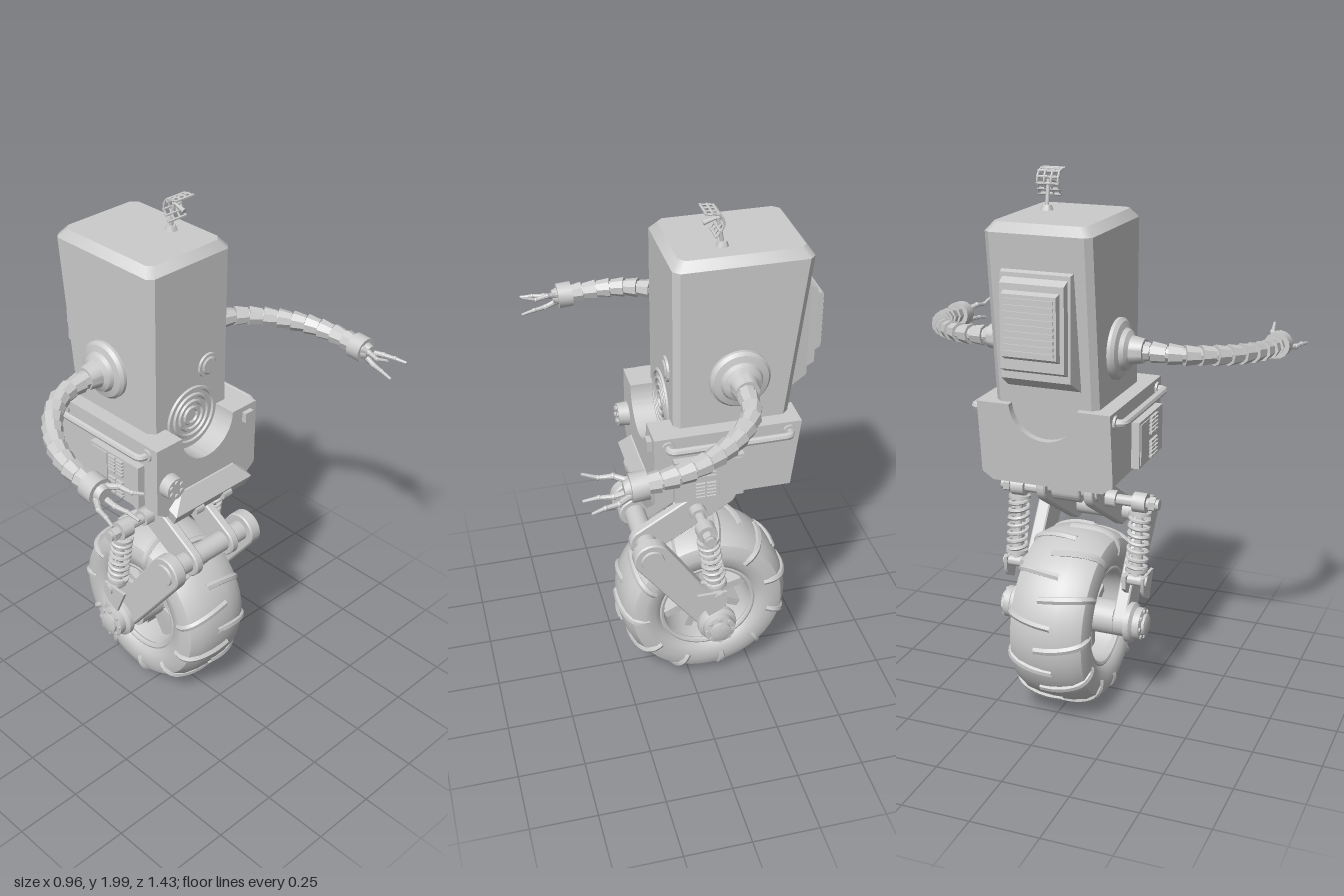
import * as THREE from 'three';
import { toCreasedNormals } from 'three/addons/utils/BufferGeometryUtils.js';
import { ConvexGeometry } from 'three/addons/geometries/ConvexGeometry.js';

const grey = new THREE.MeshStandardMaterial({ color: 0xcccccc, side: THREE.DoubleSide });
const V = (p) => new THREE.Vector3(...p);

function add(parent, name, geometry, pos = [0, 0, 0]) {
  const mesh = new THREE.Mesh(toCreasedNormals(geometry, 0.6), grey);
  mesh.name = name;
  mesh.position.set(...pos);
  parent.add(mesh);
  return mesh;
}
function box(parent, name, min, max) {
  const s = V(max).sub(V(min)), c = V(max).add(V(min)).multiplyScalar(0.5);
  return add(parent, name, new THREE.BoxGeometry(s.x, s.y, s.z), c.toArray());
}
// Cylinder or cone between two points
function bar(parent, name, a, b, r1, r2 = r1, sides = 20) {
  const d = V(b).sub(V(a));
  const mesh = add(parent, name, new THREE.CylinderGeometry(r2, r1, d.length(), sides), V(a).addScaledVector(d, 0.5).toArray());
  mesh.quaternion.setFromUnitVectors(new THREE.Vector3(0, 1, 0), d.normalize());
  return mesh;
}
function tube(parent, name, pts, r, steps = 24, tension = 0.5, sides = 8) {
  const curve = new THREE.CatmullRomCurve3(pts.map(V), false, 'catmullrom', tension);
  return add(parent, name, new THREE.TubeGeometry(curve, steps, r, sides));
}
// Revolve [radius, height] pairs about the z axis
function lathe(parent, name, pts, pos, seg = 32) {
  const g = new THREE.LatheGeometry(pts.map((p) => new THREE.Vector2(...p)), seg).rotateX(Math.PI / 2);
  return add(parent, name, g, pos);
}
function convex(parent, name, pts) {
  return add(parent, name, new ConvexGeometry(pts.map(V)));
}
// Plate with two round ends, extruded in z
function link(parent, name, a, ra, b, rb, z, depth, bevel = 0.005) {
  const dx = b[0] - a[0], dy = b[1] - a[1];
  const t = Math.atan2(dy, dx), k = Math.acos((ra - rb) / Math.hypot(dx, dy));
  const s = new THREE.Shape();
  s.absarc(a[0], a[1], ra, t + k, t - k + 2 * Math.PI, false);
  s.absarc(b[0], b[1], rb, t - k, t + k, false);
  const g = new THREE.ExtrudeGeometry(s, { depth: depth - 2 * bevel, bevelThickness: bevel, bevelSize: bevel, bevelOffset: -bevel, bevelSegments: 1, curveSegments: 16 });
  return add(parent, name, g, [0, 0, z + bevel]);
}

function buildBody(g) {
  // Upper housing: chamfered corners, sloping back
  const pts = [];
  for (const [y, back, inset] of [[1.1, -0.325, 0], [1.825, -0.412, 0], [1.857, -0.412, 0.025]]) {
    const x0 = back + inset, x1 = 0.075 - inset, z = 0.19 - inset, c = 0.022;
    for (const s of [1, -1]) pts.push([x0 + c, y, s * z], [x1 - c, y, s * z], [x0, y, s * (z - c)], [x1, y, s * (z - c)]);
  }
  convex(g, 'upperBody', pts);

  // Lower housing with a round cradle cut in its top
  const s = new THREE.Shape();
  s.moveTo(-0.245, 1.23).lineTo(-0.245, 0.965).lineTo(-0.205, 0.935).lineTo(0.205, 0.935);
  s.lineTo(0.245, 0.965).lineTo(0.245, 1.23).lineTo(0.125, 1.23);
  s.absarc(0, 1.23, 0.125, 0, Math.PI, true);
  const lower = new THREE.ExtrudeGeometry(s, { depth: 0.53, bevelEnabled: false, curveSegments: 24 }).rotateY(Math.PI / 2);
  const p = lower.attributes.position;
  for (let i = 0; i < p.count; i++) p.setX(i, p.getX(i) > 0.3 ? 0.16 : -0.37 + (1.23 - p.getY(i)) * 0.12);
  lower.computeVertexNormals();
  add(g, 'lowerBody', lower);

  // Speaker rings and round eye on the face
  for (const r of [0.03, 0.055, 0.08, 0.108]) add(g, 'speakerRing', new THREE.TorusGeometry(r, 0.008, 6, 40).rotateY(Math.PI / 2), [0.076, 1.235, 0]);
  bar(g, 'eyeRim', [0.07, 1.41, -0.08], [0.083, 1.41, -0.08], 0.048, 0.045, 32);
  bar(g, 'eyeLens', [0.08, 1.41, -0.08], [0.088, 1.41, -0.08], 0.038, 0.028, 32);

  // Stepped vent on the back
  for (const [x0, x1, lo0, hi0, lo, hi, z0, z1] of [[-0.34, -0.42, 1.29, 1.72, 1.34, 1.7, 0.135, 0.125],
    [-0.41, -0.45, 1.36, 1.69, 1.38, 1.67, 0.116, 0.114], [-0.44, -0.476, 1.41, 1.65, 1.43, 1.64, 0.1, 0.097]])
    convex(g, 'backVent', [-1, 1].flatMap((k) => [[x0, lo0, k * z0], [x0, hi0, k * z0], [x1, lo, k * z1], [x1, hi, k * z1]]));
  for (let i = 0; i < 9; i++) box(g, 'backVentSlat', [-0.482, 1.44 + i * 0.022, -0.088], [-0.47, 1.452 + i * 0.022, 0.088]);

  // Knob, port and chin on the front
  bar(g, 'knob', [0.15, 1.07, 0.19], [0.2, 1.07, 0.19], 0.046, 0.042, 24);
  for (let i = 0; i < 6; i++) {
    const y = 1.07 + 0.027 * Math.cos(i * Math.PI / 3), z = 0.19 + 0.027 * Math.sin(i * Math.PI / 3);
    bar(g, 'knobStud', [0.19, y, z], [0.206, y, z], 0.009, 0.009, 10);
  }
  box(g, 'port', [0.15, 1.17, -0.215], [0.178, 1.21, -0.175]);
  convex(g, 'chin', [-1, 1].flatMap((k) => [[0.14, 1.02, k * 0.13], [0.165, 1.01, k * 0.13], [0.2, 0.945, k * 0.19], [0.175, 0.9, k * 0.18], [0.1, 0.935, k * 0.18], [0.14, 0.97, k * 0.19]]));
  for (const z of [-0.07, 0.07]) bar(g, 'chinHinge', [0.18, 0.92, z - 0.02], [0.18, 0.92, z + 0.02], 0.022);
  bar(g, 'turretRing', [-0.12, 0.94, 0], [-0.12, 0.915, 0], 0.15, 0.14, 32);
  bar(g, 'turretHub', [-0.12, 0.92, 0], [-0.12, 0.89, 0], 0.09, 0.08, 32);
}

function buildAntenna(g) {
  const z = -0.085;
  bar(g, 'antennaBase', [-0.115, 1.85, z], [-0.115, 1.875, z], 0.025, 0.016);
  bar(g, 'antennaStalk', [-0.115, 1.87, z], [-0.1, 1.96, z], 0.007);
  const arc = [[-0.05, 1.992], [-0.095, 1.985], [-0.11, 1.95], [-0.085, 1.908]];
  for (const dz of [-0.038, -0.013, 0.013, 0.038]) tube(g, 'dishRib', arc.map(([x, y]) => [x, y, z + dz]), 0.004, 12, 0.5, 6);
  const curve = new THREE.CatmullRomCurve3(arc.map(([x, y]) => V([x, y, z])));
  for (let i = 0; i < 7; i++) {
    const q = curve.getPointAt(i / 6);
    bar(g, 'dishSlat', [q.x, q.y, z - 0.042], [q.x, q.y, z + 0.042], 0.005, 0.005, 6);
  }
  bar(g, 'dishFeed', [-0.1, 1.96, z], [-0.05, 1.945, z], 0.004, 0.009, 8);
}

function buildArm(g) {
  lathe(g, 'shoulder', [[0.108, -0.02], [0.108, 0.012], [0.098, 0.024], [0.075, 0.03], [0.068, 0.045], [0.05, 0.055], [0.042, 0.1], [0, 0.1]], [-0.155, 1.405, 0.19]);
  // Segmented hose
  const path = new THREE.CatmullRomCurve3([[-0.152, 1.405, 0.26], [-0.148, 1.402, 0.33], [-0.137, 1.398, 0.4], [-0.09, 1.392, 0.478], [-0.015, 1.382, 0.55], [0.08, 1.373, 0.607], [0.19, 1.362, 0.638], [0.29, 1.353, 0.642]].map(V));
  add(g, 'armCore', new THREE.TubeGeometry(path, 60, 0.026, 10));
  const n = 12;
  for (let i = 0; i < n; i++) {
    const a = path.getPointAt(i / n).toArray(), b = path.getPointAt((i + 0.9) / n).toArray();
    bar(g, 'armSegment', a, b, 0.038, 0.031, 8);
  }
  // Wrist cuff and three jointed fingers
  bar(g, 'wrist', [0.275, 1.353, 0.642], [0.33, 1.349, 0.642], 0.048, 0.048, 16);
  bar(g, 'palm', [0.32, 1.35, 0.642], [0.35, 1.347, 0.642], 0.036, 0.026, 12);
  for (const path of [[[0.335, 1.335, 0.665], [0.375, 1.33, 0.69], [0.42, 1.33, 0.7], [0.465, 1.325, 0.712]],
    [[0.335, 1.365, 0.62], [0.375, 1.375, 0.602], [0.42, 1.37, 0.592], [0.472, 1.388, 0.585]],
    [[0.335, 1.33, 0.635], [0.38, 1.315, 0.628], [0.425, 1.312, 0.618], [0.475, 1.302, 0.612]]])
    for (let i = 0; i < 3; i++) {
      bar(g, 'finger', path[i], path[i + 1], 0.011 - i * 0.002, 0.009 - i * 0.002, 8);
      add(g, 'knuckle', new THREE.SphereGeometry(0.013 - i * 0.002, 8, 6), path[i]);
    }
}

function buildSidePanel(g) {
  box(g, 'sidePanel', [-0.155, 0.975, 0.24], [0.095, 1.145, 0.275]);
  box(g, 'panelDoor', [-0.145, 0.985, 0.27], [-0.065, 1.135, 0.279]);
  for (const y0 of [0.985, 1.073]) for (let i = 0; i < 5; i++) for (const x of [-0.052, -0.013])
    box(g, 'ventSlat', [x, y0 + i * 0.014, 0.27], [x + 0.034, y0 + 0.008 + i * 0.014, 0.286]);
  tube(g, 'handrail', [[-0.325, 1.195, 0.24], [-0.325, 1.195, 0.262], [-0.305, 1.195, 0.278], [0.09, 1.195, 0.278], [0.11, 1.195, 0.262], [0.11, 1.195, 0.24]], 0.014, 60, 0.15);
  for (const x of [-0.325, 0.11]) bar(g, 'railFoot', [x, 1.195, 0.24], [x, 1.195, 0.254], 0.024);
}

const hip = [-0.125, 0.86], knee = [0.165, 0.685], axle = [-0.08, 0.34];

function buildSuspension(g) {
  link(g, 'upperLink', hip, 0.06, knee, 0.06, 0.075, 0.035);
  link(g, 'lowerLink', knee, 0.068, axle, 0.058, 0.17, 0.05);
  for (const [p, r, z0, z1] of [[hip, 0.04, 0.1, 0.118], [knee, 0.045, 0.215, 0.228]]) bar(g, 'pivotCap', [...p, z0], [...p, z1], r, r * 0.9, 24);
  // Shock mount, spring and damper
  const mount = [[-0.105, 0.53], [0.1, 0.53], [0.02, 0.425], [-0.07, 0.45], [-0.105, 0.48]];
  convex(g, 'shockMount', [0.195, 0.212].flatMap((z) => mount.map((p) => [...p, z])));
  convex(g, 'shockMountOuter', [0.268, 0.28].flatMap((z) => mount.map(([x, y]) => [x * 0.55 - 0.045, y, z])));
  bar(g, 'shockPin', [-0.075, 0.51, 0.19], [-0.075, 0.51, 0.288], 0.02);
  const top = V([-0.03, 0.8, 0.24]), low = V([-0.075, 0.51, 0.24]), at = (t) => low.clone().lerp(top, t);
  bar(g, 'damperRod', low.toArray(), top.toArray(), 0.014);
  bar(g, 'damperBody', at(0.08).toArray(), at(0.4).toArray(), 0.022);
  for (const t of [0.12, 0.84]) bar(g, 'springSeat', at(t).toArray(), at(t + 0.04).toArray(), 0.042);
  const coil = [];
  for (let i = 0; i <= 84; i++) {
    const a = i * Math.PI / 6;
    coil.push(at(0.15 + 0.7 * i / 84).add(V([0.035 * Math.cos(a), 0, 0.035 * Math.sin(a)])).toArray());
  }
  tube(g, 'spring', coil, 0.008, 168, 0.5, 6);
  bar(g, 'shockEye', [-0.03, 0.8, 0.215], [-0.03, 0.8, 0.265], 0.037);
  bar(g, 'axleCollar', [-0.03, 0.8, 0.11], [-0.03, 0.8, 0.15], 0.032);
  bar(g, 'axleNut', [-0.03, 0.8, 0.275], [-0.03, 0.8, 0.3], 0.028, 0.028, 6);
  lathe(g, 'hubCap', [[0.075, 0], [0.075, 0.02], [0.06, 0.03], [0.06, 0.055], [0.04, 0.06], [0.04, 0.07], [0.025, 0.075], [0, 0.075]], [...axle, 0.218], 24);
  for (let i = 0; i < 8; i++) {
    const x = axle[0] + 0.05 * Math.cos(i * Math.PI / 4), y = axle[1] + 0.05 * Math.sin(i * Math.PI / 4);
    bar(g, 'hubBolt', [x, y, 0.265], [x, y, 0.281], 0.008, 0.008, 6);
  }
}

function buildWheel(g) {
  const wheel = new THREE.Group();
  wheel.name = 'wheel';
  wheel.position.set(-0.07, 0.343, 0);
  g.add(wheel);
  const half = [[0.185, 0.125], [0.21, 0.145], [0.255, 0.153], [0.295, 0.138], [0.318, 0.1], [0.328, 0.05]];
  const outer = [...half.map(([r, z]) => [r, -z]), [0.331, 0], ...half.slice().reverse()];
  lathe(wheel, 'tire', [...outer, [0.185, 0.125], [0.172, 0.1], [0.172, -0.1], [0.185, -0.125]], [0, 0, 0], 60);
  // Curved tread lugs, staggered between the two sides
  for (const s of [-1, 1]) for (let i = 0; i < 11; i++) {
    const a0 = (i + (s > 0 ? 0 : 0.5)) * Math.PI * 2 / 11 + 0.2;
    const pts = [[0.237, 0.143, 0], [0.268, 0.146, 0.02], [0.3, 0.128, 0.055], [0.32, 0.085, 0.09], [0.329, 0.03, 0.12], [0.327, -0.03, 0.14]]
      .map(([r, z, da]) => [r * Math.cos(a0 + da), r * Math.sin(a0 + da), s * z]);
    tube(wheel, 'treadLug', pts, 0.014, 16, 0.5, 6);
  }
  for (const z of [-0.12, 0.12]) add(wheel, 'rimLip', new THREE.TorusGeometry(0.183, 0.012, 8, 48), [0, 0, z]);
  bar(wheel, 'hub', [0, 0, -0.17], [0, 0, 0.17], 0.065, 0.065, 24);
  for (let i = 0; i < 9; i++) {
    const spoke = bar(wheel, 'spoke', [0, 0.05, 0], [0, 0.18, 0], 0.026, 0.02, 4);
    spoke.geometry.rotateY(Math.PI / 4).scale(1, 1, 3.5);
    const a = i * Math.PI * 2 / 9;
    spoke.position.set(-0.115 * Math.sin(a), 0.115 * Math.cos(a), 0);
    spoke.rotation.set(0, 0, a);
  }
}

export function createModel() {
  const model = new THREE.Group();
  model.name = 'unicycleRobot';
  buildBody(model);
  buildAntenna(model);
  buildWheel(model);
  // Centre block and cross axles
  link(model, 'hipBlock', [-0.125, 0.92], 0.055, hip, 0.05, -0.055, 0.11);
  bar(model, 'hipAxle', [...hip, -0.11], [...hip, 0.11], 0.03);
  bar(model, 'shockAxle', [-0.03, 0.8, -0.312], [-0.03, 0.8, 0.312], 0.02);
  bar(model, 'kneeAxle', [...knee, -0.2], [...knee, 0.2], 0.04);
  bar(model, 'wheelAxle', [...axle, -0.23], [...axle, 0.23], 0.035);
  // Mirrored side assemblies
  for (const [name, build] of [['Arm', buildArm], ['SidePanel', buildSidePanel], ['Suspension', buildSuspension]]) {
    const near = new THREE.Group();
    build(near);
    near.name = 'near' + name;
    const far = near.clone();
    far.name = 'far' + name;
    far.scale.z = -1;
    model.add(near, far);
  }
  return model;
}
